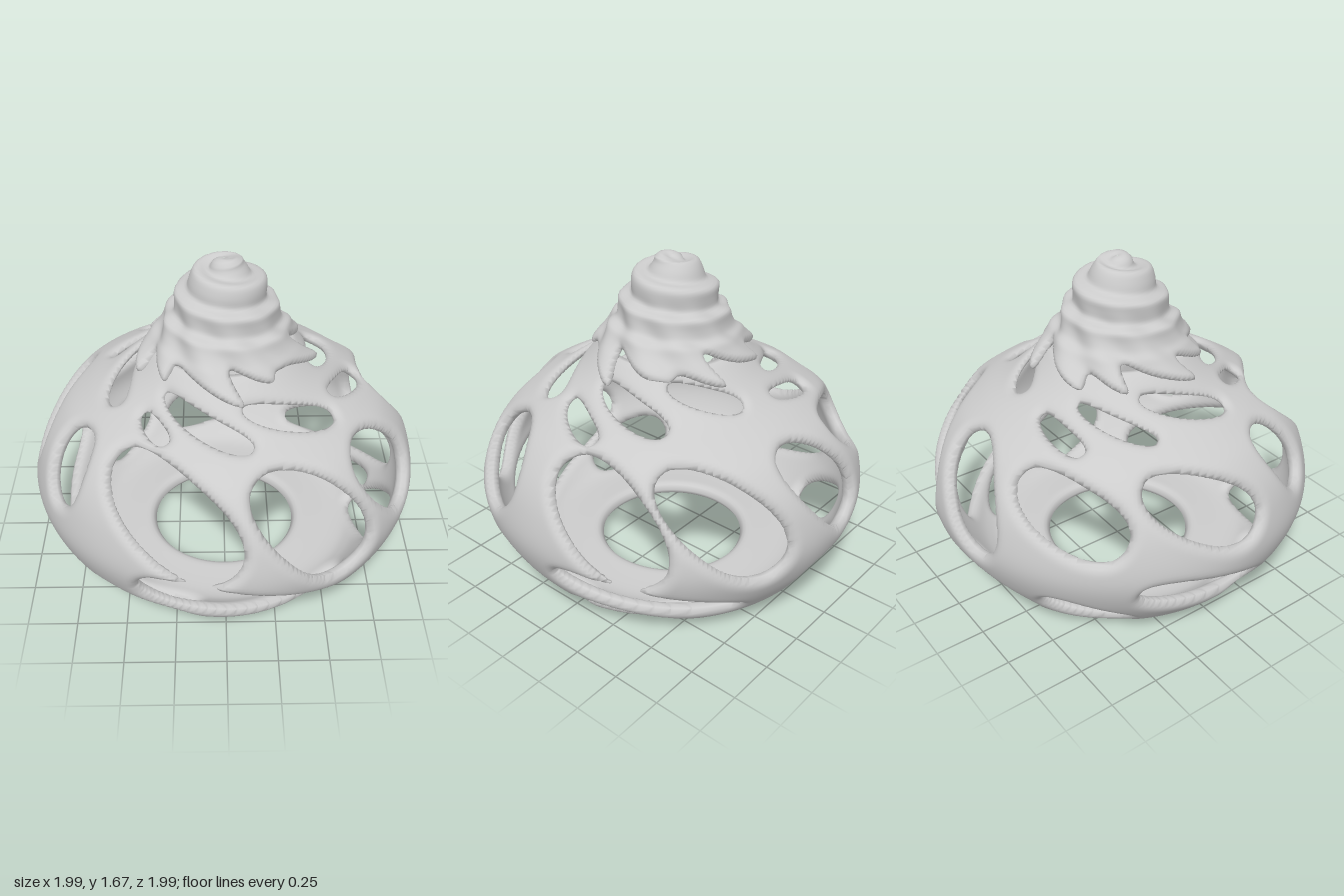
import * as THREE from 'three';

const TAU = Math.PI * 2, DEG = Math.PI / 180;
const smoothstep = THREE.MathUtils.smoothstep;

// Profile sampled at equal arc length: position, outward normal, distance s
function makeProfile(points, n) {
  const curve = new THREE.SplineCurve(points.map(p => new THREE.Vector2(...p)));
  curve.arcLengthDivisions = 800;
  const len = curve.getLength(), rows = [];
  for (let j = 0; j <= n; j++) {
    const p = curve.getPointAt(j / n), t = curve.getTangentAt(j / n);
    rows.push({ r: Math.max(p.x, 0.001), y: p.y, nr: t.y, ny: -t.x, s: len * j / n });
  }
  return { rows, len };
}

// Closed shell of revolution, cut away wherever field(a, row) is negative.
// Outer and inner skins meet at the cut, giving rounded rims.
function makeShell(rows, na, field, bump, thickness, rim) {
  const pos = [], index = [], D = [], M = [], nj = rows.length, cuts = new Map();
  for (let i = 0; i < na; i++) for (let j = 0; j < nj; j++) {
    const a = TAU * i / na, row = rows[j], d = field(a, row), b = bump(a, row);
    const q = 1 - Math.min(Math.max(d, 0) / rim, 1);
    const h = thickness(row) * Math.sqrt(1 - q * q);
    const at = k => {
      const r = row.r + row.nr * k;
      return [r * Math.sin(a), row.y + row.ny * k, r * Math.cos(a)];
    };
    pos.push(...at(b + h), ...at(b - h));
    D.push(d);
    M.push(at(b));
  }
  const cut = (p, q) => {
    const key = Math.min(p, q) * 1e6 + Math.max(p, q);
    if (!cuts.has(key)) {
      const t = D[p] / (D[p] - D[q]);
      cuts.set(key, pos.length / 3);
      pos.push(...M[p].map((v, k) => v + (M[q][k] - v) * t));
    }
    return cuts.get(key);
  };
  const tri = (...v) => {
    const poly = [];   // pairs of outer and inner index
    v.forEach((p, k) => {
      const q = v[(k + 1) % 3];
      if (D[p] > 0) poly.push([2 * p, 2 * p + 1]);
      if (D[p] > 0 !== D[q] > 0) { const c = cut(p, q); poly.push([c, c]); }
    });
    for (let k = 1; k + 1 < poly.length; k++) {
      const [a, b, c] = [poly[0], poly[k], poly[k + 1]];
      index.push(a[0], b[0], c[0], a[1], c[1], b[1]);
    }
  };
  for (let i = 0; i < na; i++) for (let j = 0; j + 1 < nj; j++) {
    const p = i * nj + j, q = ((i + 1) % na) * nj + j;
    tri(p, q, q + 1);
    tri(p, q + 1, p + 1);
  }
  const geo = new THREE.BufferGeometry();
  geo.setAttribute('position', new THREE.Float32BufferAttribute(pos, 3));
  geo.setIndex(index);
  geo.computeVertexNormals();
  return geo;
}

const body = makeProfile([[0.38, 0.05], [0.62, 0.04], [0.74, 0.09], [0.84, 0.2], [0.92, 0.33], [0.958, 0.47],
  [0.935, 0.62], [0.88, 0.75], [0.79, 0.86], [0.68, 0.94], [0.56, 1.01], [0.45, 1.09], [0.37, 1.165], [0.32, 1.22]], 112);

// Three belts of nine slanted oval openings: angle, height, half length, half width, tilt
const middleBelt = [
  [-17, 0.765, 0.4, 0.2, -35], [28, 0.685, 0.36, 0.21, -50], [62, 0.735, 0.25, 0.19, -50],
  [111, 0.69, 0.36, 0.2, -45], [146, 0.69, 0.37, 0.18, -43], [184, 0.7, 0.31, 0.16, -53],
  [220, 0.76, 0.3, 0.15, -25], [262, 0.74, 0.31, 0.15, -30], [300, 0.775, 0.2, 0.13, -70]];
const lowerBelt = [
  [8, 0.26, 0.59, 0.16, -17], [-30, 0.155, 0.26, 0.12, -20], [79, 0.19, 0.27, 0.13, -30],
  [122, 0.285, 0.46, 0.09, -13], [117, 0.115, 0.29, 0.055, -18], [188, 0.22, 0.24, 0.11, -15],
  [224, 0.21, 0.22, 0.1, -25], [261, 0.32, 0.35, 0.1, -15], [292, 0.115, 0.24, 0.055, -8]];
const shoulderBelt = [
  [-36, 1.005, 0.11, 0.045], [-10, 1.04, 0.26, 0.06], [38, 1.03, 0.24, 0.07],
  [85, 0.98, 0.17, 0.055], [108, 1.05, 0.22, 0.07], [152, 1.09, 0.19, 0.06],
  [208, 0.99, 0.16, 0.05], [234, 1.035, 0.21, 0.045], [276, 1.05, 0.23, 0.065]];

// Outline of an opening on the unrolled surface, as a slightly squared oval
const power = v => Math.sign(v) * Math.abs(v) ** 0.85;
function makeOpening([angle, y, length, width, tilt = -26]) {
  const walls = body.rows.filter(w => w.r > 0.6 || w.y > 0.5);
  const row = walls.reduce((m, w) => (Math.abs(w.y - y) < Math.abs(m.y - y) ? w : m));
  const line = [];
  for (let k = 0; k < 36; k++) {
    const t = TAU * k / 36;
    line.push(new THREE.Vector2(length * power(Math.cos(t)), width * power(Math.sin(t)))
      .rotateAround(new THREE.Vector2(), tilt * DEG).add(new THREE.Vector2(0, row.s)));
  }
  return { mid: angle * DEG, line, box: new THREE.Box2().setFromPoints(line).expandByScalar(0.15) };
}
const openings = [...middleBelt, ...lowerBelt, ...shoulderBelt].map(makeOpening);

// Signed distance to an outline, positive outside
function outlineDistance({ mid, line, box }, a, row) {
  const turn = a - mid, x = (turn - TAU * Math.round(turn / TAU)) * row.r, y = row.s;
  if (x < box.min.x || x > box.max.x || y < box.min.y || y > box.max.y) return 0.15;
  let best = Infinity, inside = false;
  line.forEach((p, k) => {
    const q = line[(k + 1) % line.length], ex = q.x - p.x, ey = q.y - p.y;
    const t = Math.max(0, Math.min(1, ((x - p.x) * ex + (y - p.y) * ey) / (ex * ex + ey * ey)));
    best = Math.min(best, Math.hypot(x - p.x - ex * t, y - p.y - ey * t));
    if (p.y > y !== q.y > y && x < p.x + ex * (y - p.y) / ey) inside = !inside;
  });
  return inside ? -best : best;
}

// Soft minimum keeps the struts rounded where openings come close
function bodyField(a, row) {
  const k = 0.01, ds = openings.map(h => outlineDistance(h, a, row));
  ds.push(row.s, body.len - row.s);
  const m = Math.min(...ds);
  return m - k * Math.log(ds.reduce((t, d) => t + Math.exp((m - d) / k), 0));
}

export function createModel() {
  const group = new THREE.Group();
  const material = new THREE.MeshStandardMaterial({ color: 0xcccccc });
  const add = (name, geometry) => {
    const mesh = new THREE.Mesh(geometry, material);
    mesh.name = name;
    group.add(mesh);
  };

  // Openwork body, thinner towards the shoulder
  add('latticeBody', makeShell(body.rows, 300, bodyField, () => 0,
    w => 0.037 - 0.017 * smoothstep(w.y, 0.85, 1.08), 0.055));

  // Swirled cap: spiral ridge at the tip, twisted folds and dripping fingers below
  const cap = makeProfile([[0.56, 1.045], [0.43, 1.145], [0.35, 1.23], [0.285, 1.32], [0.24, 1.4], [0.205, 1.47],
    [0.17, 1.54], [0.12, 1.59], [0.07, 1.62], [0.045, 1.64], [0, 1.645]], 72);
  const down = w => cap.len - w.s;
  const edge = (a, w) => {
    const f = a - 2.2 * down(w);
    return 0.62 + 0.055 * Math.cos(9 * f + 0.6) + 0.04 * Math.cos(5 * f + 1) + 0.02 * Math.cos(14 * f) - down(w);
  };
  const folds = (a, w) => {
    const s = down(w), p = TAU * s / 0.14 - a;
    const spiral = 0.02 * Math.min(1, s / 0.06) * (1 - smoothstep(s, 0.3, 0.6));
    const flute = 0.01 * smoothstep(s, 0.2, 0.5);
    return spiral * Math.sin(p + 0.4 * Math.sin(p)) + flute * Math.cos(9 * (a - 2.2 * s) + 0.6);
  };
  add('swirlCap', makeShell(cap.rows, 180, edge, folds, () => 0.022, 0.04));
  return group;
}
